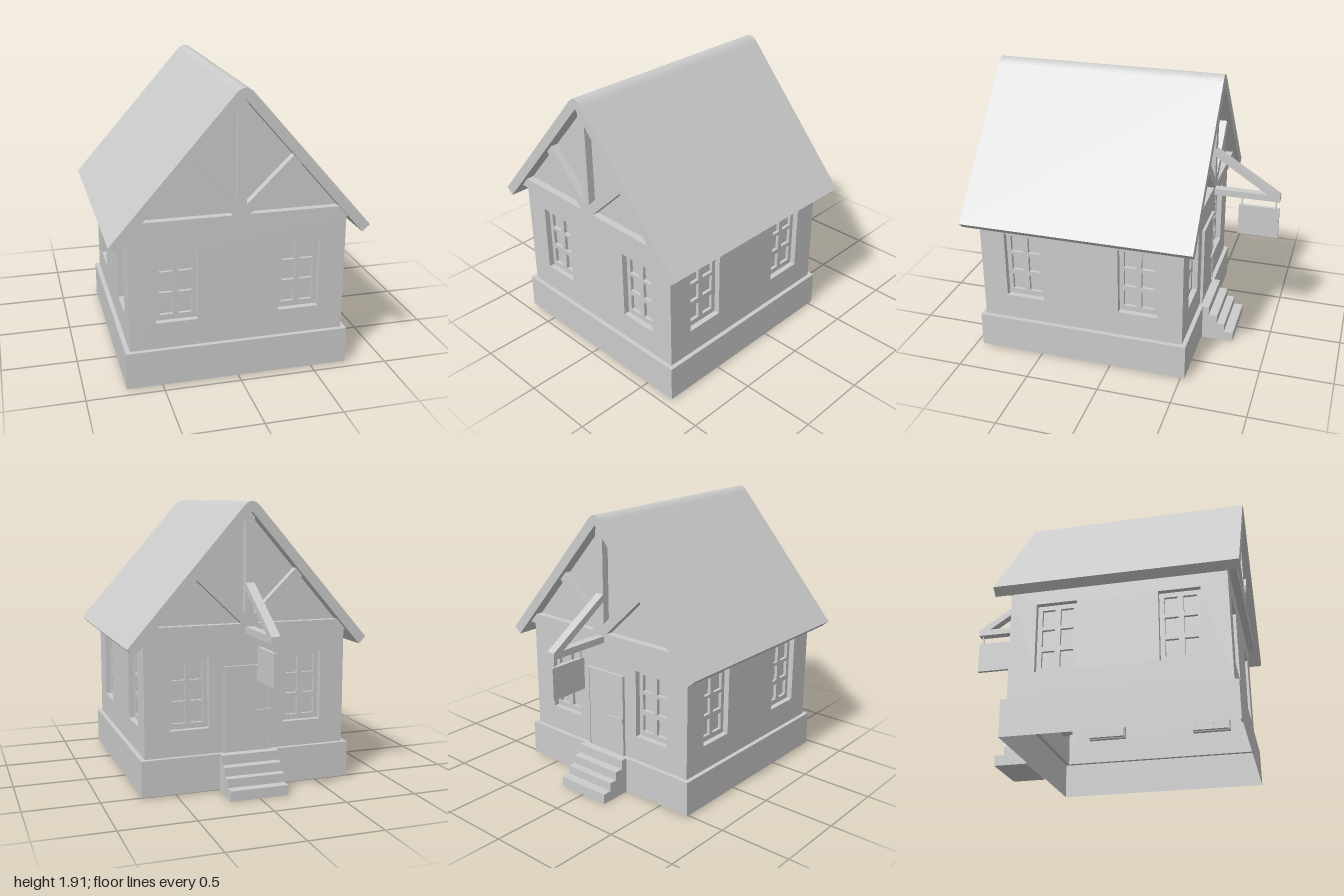
import * as THREE from 'three';

const material = new THREE.MeshStandardMaterial({ color: 0xcccccc, flatShading: true, side: THREE.DoubleSide });

function mesh(name, geometry, parent, x = 0, y = 0, z = 0) {
  const m = new THREE.Mesh(geometry, material);
  m.name = name;
  m.position.set(x, y, z);
  parent.add(m);
  return m;
}

const polygon = (points) => new THREE.Shape(points.map(([x, y]) => new THREE.Vector2(x, y)));
const rect = (x0, y0, x1, y1) => polygon([[x0, y0], [x1, y0], [x1, y1], [x0, y1]]);
const extrude = (shape, depth) => new THREE.ExtrudeGeometry(shape, { depth, bevelEnabled: false, curveSegments: 8 });
const box = (w, h, d) => new THREE.BoxGeometry(w, h, d);

// Profile drawn with x pointing to the back (-z), given a width centred on x = 0
const sideways = (shape, width) => extrude(shape, width).translate(0, 0, -width / 2).rotateY(Math.PI / 2);

const WALL_X = 0.705, FRONT_Z = 0.915, BACK_Z = -0.5, MID_Z = (FRONT_Z + BACK_Z) / 2;
const BASE_Y = 0.255, APEX_Y = 1.85;
const underRoof = (x) => APEX_Y - 1.147 * Math.abs(x);
const WINDOW = { x: 0.4, y0: 0.43, y1: 0.905, half: 0.135 };

// Recessed six-pane window, centred on local x = 0
function createWindow(name) {
  const group = new THREE.Group();
  group.name = name;
  const { y0, y1, half } = WINDOW;

  const reveal = rect(-half - 0.004, y0 - 0.004, half + 0.004, y1 + 0.004);
  reveal.holes.push(rect(-half, y0, half, y1));
  mesh('windowReveal', extrude(reveal, 0.039), group, 0, 0, -0.04);

  const sash = rect(-half, y0, half, y1);
  for (const x of [-0.061, 0.061]) {
    for (const y of [0.525, 0.675, 0.815]) {
      sash.holes.push(rect(x - 0.043, y - 0.058, x + 0.043, y + 0.058));
    }
  }
  mesh('windowSash', extrude(sash, 0.03), group, 0, 0, -0.07);
  mesh('windowGlass', new THREE.PlaneGeometry(half * 2, y1 - y0), group, 0, (y0 + y1) / 2, -0.062);
  return group;
}

// Wall sheet facing local +z with two windows
function createWall(name, outline) {
  const group = new THREE.Group();
  group.name = name;
  for (const x of [-WINDOW.x, WINDOW.x]) {
    outline.holes.push(rect(x - WINDOW.half, WINDOW.y0, x + WINDOW.half, WINDOW.y1));
    const win = createWindow('window');
    win.position.x = x;
    group.add(win);
  }
  mesh('wallSurface', new THREE.ShapeGeometry(outline), group);
  return group;
}

// Timber truss standing proud of the gable
function createGableTimbers() {
  const group = new THREE.Group();
  group.name = 'gableTimbers';
  const depth = 0.05;
  mesh('tieBeam', extrude(polygon([[-0.693, 1.055], [0.693, 1.055], [0.632, 1.125], [-0.632, 1.125]]), depth), group);
  mesh('kingPost', extrude(polygon([
    [-0.03, 1.125], [0.03, 1.125], [0.03, underRoof(0.03)], [0, APEX_Y], [-0.03, underRoof(0.03)],
  ]), depth), group);
  for (const s of [-1, 1]) {
    mesh('diagonalBrace', extrude(polygon([
      [s * 0.37, underRoof(0.37)], [s * 0.323, underRoof(0.323)],
      [s * 0.03, 1.19], [s * 0.03, 1.125], [s * 0.055, 1.125],
    ]), depth), group);
  }
  return group;
}

function createFoundation() {
  const group = new THREE.Group();
  group.name = 'foundation';
  const w = 1.47, d = 1.475, h = BASE_Y - 0.01;
  for (const s of [-1, 1]) {
    mesh('foundationEnd', new THREE.PlaneGeometry(w, h), group, 0, 0.01 + h / 2, MID_Z + s * d / 2)
      .rotation.y = s > 0 ? 0 : Math.PI;
    mesh('foundationSide', new THREE.PlaneGeometry(d, h), group, s * w / 2, 0.01 + h / 2, MID_Z)
      .rotation.y = s * Math.PI / 2;
  }
  const ledge = rect(-w / 2, -d / 2, w / 2, d / 2);
  const halfDepth = (FRONT_Z - BACK_Z) / 2;
  ledge.holes.push(rect(-WALL_X, -halfDepth, WALL_X, halfDepth));
  mesh('foundationLedge', new THREE.ShapeGeometry(ledge).rotateX(-Math.PI / 2), group, 0, BASE_Y, MID_Z);
  return group;
}

function createRoof() {
  const shape = new THREE.Shape();
  shape.moveTo(-0.78, 0.955);
  shape.lineTo(0, APEX_Y);
  shape.lineTo(0.78, 0.955);
  shape.lineTo(0.83, 1.0);
  shape.lineTo(0.055, 1.885);
  shape.quadraticCurveTo(0, 1.945, -0.055, 1.885);
  shape.lineTo(-0.83, 1.0);
  shape.closePath();
  return extrude(shape, 1.585);
}

function createDoor() {
  const group = new THREE.Group();
  group.name = 'door';
  const frame = polygon([
    [-0.165, BASE_Y], [-0.165, 0.84], [0.165, 0.84], [0.165, BASE_Y],
    [0.15, BASE_Y], [0.15, 0.825], [-0.15, 0.825], [-0.15, BASE_Y],
  ]);
  mesh('doorFrame', extrude(frame, 0.02), group, 0, 0, BACK_Z - 0.02);
  mesh('doorPanel', box(0.3, 0.57, 0.015), group, 0, 0.54, BACK_Z - 0.0075);
  mesh('handlePlate', box(0.025, 0.045, 0.02), group, -0.15, 0.52, BACK_Z - 0.022);
  mesh('handleLever', box(0.12, 0.018, 0.012), group, -0.11, 0.527, BACK_Z - 0.03);
  return group;
}

// Wall bracket with a blank hanging board
function createHangingSign() {
  const group = new THREE.Group();
  group.name = 'hangingSign';
  mesh('bracketArm', sideways(rect(0.5, 1.06, 1, 1.105), 0.06), group);
  mesh('bracketBrace', sideways(polygon([[0.5, 1.375], [0.915, 1.105], [1, 1.105], [0.5, 1.425]]), 0.06), group);
  mesh('signBoard', box(0.025, 0.22, 0.28), group, 0, 0.89, -0.86);
  for (const z of [-0.74, -0.975]) mesh('signHanger', box(0.01, 0.06, 0.01), group, 0, 1.03, z);
  return group;
}

export function createModel() {
  const house = new THREE.Group();
  house.name = 'house';
  house.add(createFoundation());

  // Gable ends with their timbers
  const gable = () => polygon([
    [-WALL_X, BASE_Y], [WALL_X, BASE_Y], [WALL_X, underRoof(WALL_X)], [0, APEX_Y], [-WALL_X, underRoof(WALL_X)],
  ]);
  for (const [name, z, turn] of [['frontWall', FRONT_Z, 0], ['backWall', BACK_Z, Math.PI]]) {
    const wall = createWall(name, gable());
    wall.add(createGableTimbers());
    wall.position.z = z;
    wall.rotation.y = turn;
    house.add(wall);
  }

  // Long side walls
  const halfDepth = (FRONT_Z - BACK_Z) / 2;
  for (const [name, s] of [['leftWall', 1], ['rightWall', -1]]) {
    const wall = createWall(name, rect(-halfDepth, BASE_Y, halfDepth, underRoof(WALL_X)));
    wall.position.set(s * WALL_X, 0, MID_Z);
    wall.rotation.y = s * Math.PI / 2;
    house.add(wall);
  }

  mesh('roof', createRoof(), house, 0, 0, -0.585);
  house.add(createDoor());

  // Four steps up to the door
  const steps = polygon([
    [0.53, 0], [0.755, 0], [0.755, 0.07], [0.69, 0.07], [0.69, 0.13],
    [0.635, 0.13], [0.635, 0.19], [0.575, 0.19], [0.575, BASE_Y], [0.53, BASE_Y],
  ]);
  mesh('doorSteps', sideways(steps, 0.4), house);

  house.add(createHangingSign());
  return house;
}
